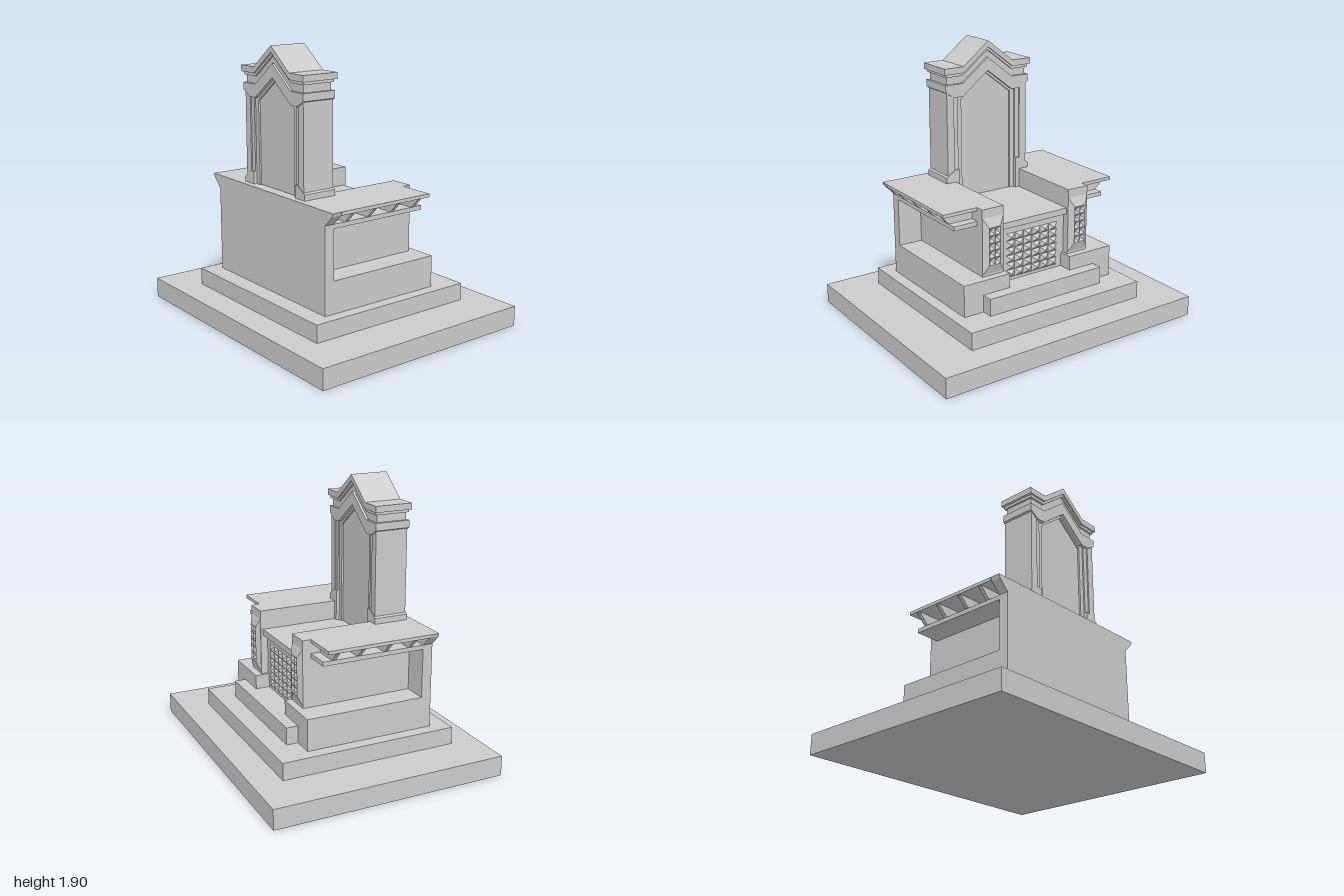
import * as THREE from 'three';

export function createModel() {
  const model = new THREE.Group();
  const mat = new THREE.MeshStandardMaterial({ color: 0xcccccc, flatShading: true, side: THREE.DoubleSide });

  function add(name, geometry, parent = model) {
    const mesh = new THREE.Mesh(geometry, mat);
    mesh.name = name;
    parent.add(mesh);
    return mesh;
  }
  // Box given by its limits on each axis
  function box(name, x0, x1, y0, y1, z0, z1, parent) {
    const m = add(name, new THREE.BoxGeometry(x1 - x0, y1 - y0, z1 - z0), parent);
    m.position.set((x0 + x1) / 2, (y0 + y1) / 2, (z0 + z1) / 2);
    return m;
  }
  // Outline of [z, y] points, extruded from x0 to x1
  function slab(name, points, x0, x1, parent) {
    const shape = new THREE.Shape(points.map(p => new THREE.Vector2(p[0], p[1])));
    const m = add(name, new THREE.ExtrudeGeometry(shape, { depth: x1 - x0, bevelEnabled: false }), parent);
    m.rotation.y = -Math.PI / 2;
    m.position.x = x1;
    return m;
  }
  // Completes a half outline that runs along +z
  const mirrored = half => half.concat(half.filter(p => p[0] > 0).reverse().map(p => [-p[0], p[1]]));

  // Stepped base
  box('groundSlab', -0.82, 0.82, 0, 0.14, -1, 1);
  box('secondStep', -0.625, 0.62, 0.14, 0.26, -0.69, 0.685);
  box('frontStep', 0.2, 0.49, 0.26, 0.38, -0.457, 0.457);

  // Central body with its seat slab and rear wall
  box('centralBody', -0.45, 0.31, 0.26, 0.77, -0.28, 0.28);
  box('seatSlab', -0.45, 0.342, 0.767, 0.81, -0.27, 0.27);
  slab('rearWall', mirrored([[0.605, 0.26], [0.605, 0.85], [0.675, 0.92], [0.683, 0.945]]), -0.5, -0.43);
  box('towerFoot', -0.45, -0.26, 0.8, 0.945, -0.27, 0.27);

  // Front panel of low pyramids
  const panel = new THREE.Group();
  panel.name = 'studdedPanel';
  model.add(panel);
  const cw = 0.07, ch = 0.0525;
  for (let i = 0; i < 6; i++) for (let j = 0; j < 6; j++) {
    const g = new THREE.ConeGeometry(Math.SQRT1_2, 1, 4, 1, true);
    g.rotateY(Math.PI / 4).rotateZ(-Math.PI / 2).scale(0.022, ch, cw);
    add('panelStud', g, panel).position.set(0.321, 0.401 + (j + 0.5) * ch, (i - 2.5) * cw);
  }

  // Raised pillar ornament: sloped border around sunken pyramid cells
  function ornament() {
    const v = [];
    const quad = (a, b, c, d) => v.push(...a, ...b, ...c, ...a, ...c, ...d);
    const rect = (x, hy, hz) => [[x, -hy, hz], [x, -hy, -hz], [x, hy, -hz], [x, hy, hz]];
    const outer = rect(0, 0.195, 0.08), inner = rect(0.024, 0.13, 0.043);
    for (let k = 0; k < 4; k++) quad(outer[k], outer[(k + 1) % 4], inner[(k + 1) % 4], inner[k]);
    for (let r = 0; r < 5; r++) for (let c = 0; c < 2; c++) {
      const y = (r - 2) * 0.052, z = (c - 0.5) * 0.043;
      const cell = rect(0.024, 0.026, 0.0215).map(p => [p[0], p[1] + y, p[2] + z]);
      for (let k = 0; k < 4; k++) v.push(...cell[k], ...cell[(k + 1) % 4], 0.003, y, z);
    }
    const g = new THREE.BufferGeometry();
    g.setAttribute('position', new THREE.Float32BufferAttribute(v, 3));
    g.computeVertexNormals();
    return g;
  }

  // Side wings
  for (const s of [1, -1]) {
    const wing = new THREE.Group();
    wing.name = s > 0 ? 'leftWing' : 'rightWing';
    model.add(wing);
    const side = (name, x0, x1, y0, y1, z0, z1) =>
      box(name, x0, x1, y0, y1, Math.min(s * z0, s * z1), Math.max(s * z0, s * z1), wing);
    side('pedestal', -0.45, 0.41, 0.26, 0.48, 0.25, 0.605);
    side('wingWall', -0.45, 0.36, 0.48, 0.945, 0.267, 0.43);
    side('lowerShelf', -0.43, 0.3, 0.82, 0.85, 0.43, 0.605);
    side('topShelf', -0.43, 0.3, 0.922, 0.945, 0.43, 0.683);
    for (const x of [-0.33, -0.15, 0.045, 0.225]) {
      const profile = [[0.43, 0.85], [0.605, 0.85], [0.675, 0.922], [0.43, 0.922]];
      slab('shelfBracket', profile.map(p => [s * p[0], p[1]]), x - 0.013, x + 0.013, wing);
    }
    add('pillarOrnament', ornament(), wing).position.set(0.361, 0.69, s * 0.349);
  }

  // Gabled tower, the same on its front and back
  const tower = new THREE.Group();
  tower.name = 'tower';
  model.add(tower);
  const mid = -0.336, rise = 0.155;
  const layer = (name, points, halfDepth) => slab(name, points, mid - halfDepth, mid + halfDepth, tower);
  // Band that runs level at the shoulders and up over the gable
  const band = (hw, y0, y1) => [
    [hw, y0], [hw, y1], [0.2, y1], [0, y1 + rise], [-0.2, y1], [-hw, y1],
    [-hw, y0], [-0.2, y0], [0, y0 + rise], [0.2, y0],
  ];
  layer('towerCore', mirrored([[0.24, 0.81], [0.24, 1.6], [0.2, 1.6], [0, 1.75]]), 0.085);
  for (const s of [1, -1]) {
    const strip = (name, z0, z1, y0, y1, d) =>
      layer(name, [[s * z0, y0], [s * z1, y0], [s * z1, y1], [s * z0, y1]], d);
    strip('innerFrame', 0.2, 0.24, 0.81, 1.6, 0.098);
    strip('middleFrame', 0.235, 0.275, 0.945, 1.6, 0.108);
    strip('cornerPost', 0.27, 0.325, 0.945, 1.6, 0.117);
    layer('towerBase', [[0.235, 0.81], [0.27, 0.81], [0.27, 0.945], [0.34, 0.945], [0.34, 0.985], [0.27, 1.03], [0.235, 1.03]]
      .map(p => [s * p[0], p[1]]), 0.122);
  }
  layer('gableTrim', band(0.24, 1.52, 1.56), 0.098);
  layer('cap', [
    [0.336, 1.58], [0.336, 1.63], [0.2, 1.63], [0, 1.785], [-0.2, 1.63], [-0.336, 1.63], [-0.336, 1.58],
    [-0.27, 1.54], [-0.2, 1.54], [0, 1.695], [0.2, 1.54], [0.27, 1.54],
  ], 0.125);
  layer('neck', band(0.318, 1.62, 1.69), 0.108);
  layer('neckTrim', band(0.33, 1.682, 1.705), 0.122);
  layer('cornice', band(0.347, 1.702, 1.745), 0.134);

  return model;
}
